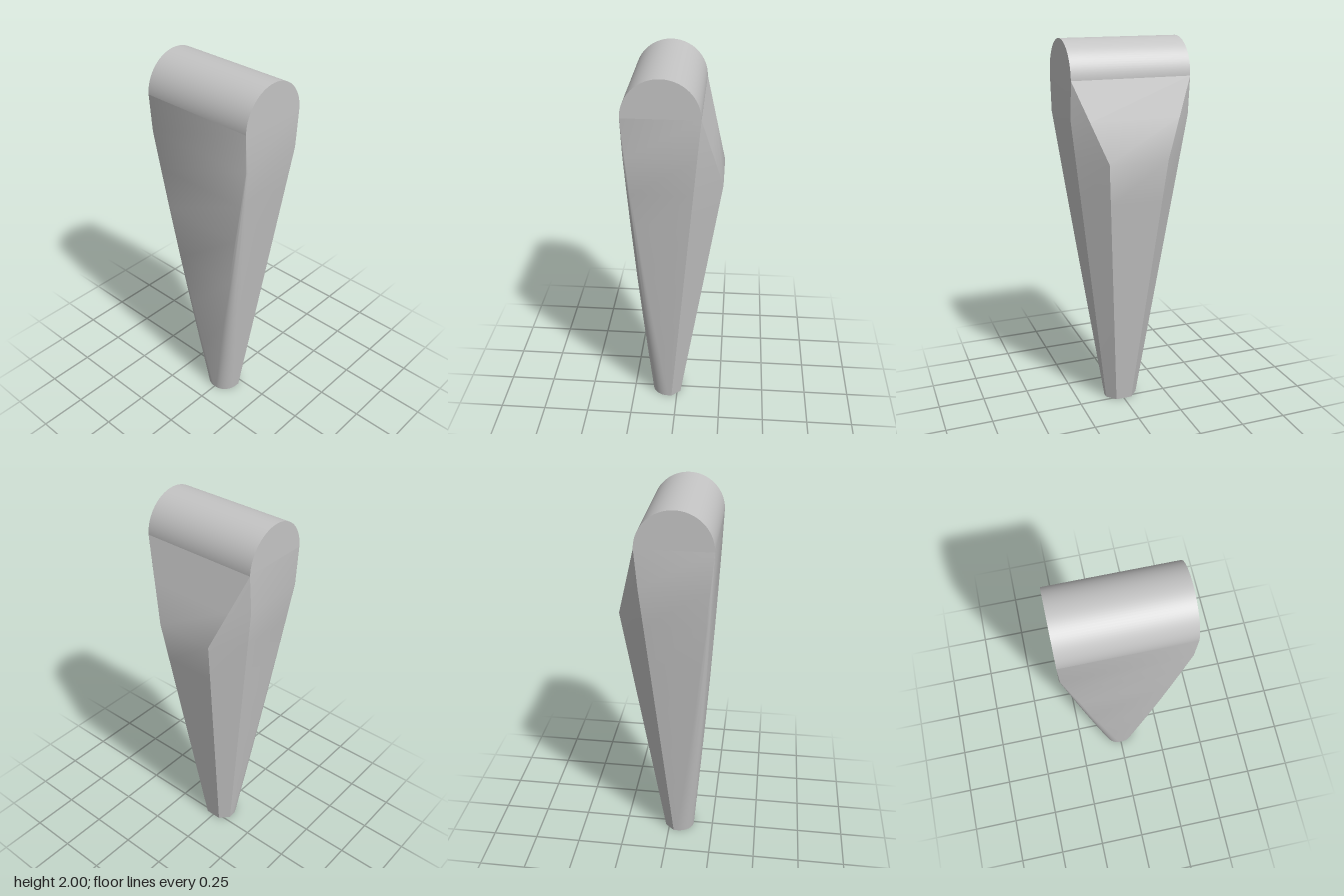
import * as THREE from 'three';
import { toCreasedNormals } from 'three/addons/utils/BufferGeometryUtils.js';

const TOP = 1.815; // height where the round head begins
const RIDGE = 1.42; // height of the deepest point of the back
const HALF = 0.31;
const { lerp } = THREE.MathUtils;

// Front profile, gently bulged
function frontZ(y) {
  const t = y / TOP;
  return lerp(0.14, 0.24, t) + 0.01 * Math.sin(Math.PI * t);
}

// One horizontal cross-section: flat back, chamfered back corners, rounded front
function section(y) {
  const t = y / TOP;
  const w = Math.min(HALF, lerp(0.09, HALF, y / 1.62));
  const cornerZ = lerp(0.03, -0.13, t);
  const up = Math.max(0, (y - RIDGE) / (TOP - RIDGE));
  const backX = y <= RIDGE ? lerp(0.045, 0.155, y / RIDGE) : lerp(0.155, HALF, up);
  const backZ = y <= RIDGE ? lerp(-0.02, -0.235, y / RIDGE) : lerp(-0.235, -0.13, up);
  const rx = 0.08 * (1 - t), rz = 0.09 * (1 - t), zf = frontZ(y);
  const side = [[backX, backZ], [w, cornerZ]];
  for (let i = 0; i <= 8; i++) {
    const a = (i / 8) * Math.PI / 2;
    side.push([w - rx + rx * Math.cos(a), zf - rz + rz * Math.sin(a)]);
  }
  const mirrored = side.map(([x, z]) => [-x, z]).reverse();
  return [...side, ...mirrored].map(([x, z]) => [x, y, z]);
}

// Tapered body lofted through the cross-sections
function bodyGeometry() {
  const rings = [0, 0.3, 0.6, 0.9, 1.2, RIDGE, 1.62, TOP].map(section);
  const n = rings[0].length;
  const index = [];
  for (let i = 0; i < rings.length - 1; i++) {
    for (let j = 0; j < n; j++) {
      const a = i * n + j, b = i * n + (j + 1) % n;
      index.push(a, a + n, b, b, a + n, b + n);
    }
  }
  for (let j = 1; j < n - 1; j++) index.push(0, j, j + 1); // foot
  const geo = new THREE.BufferGeometry();
  geo.setAttribute('position', new THREE.Float32BufferAttribute(rings.flat(2), 3));
  geo.setIndex(index);
  return toCreasedNormals(geo, 0.55);
}

export function createModel() {
  const group = new THREE.Group();
  group.name = 'taperedWedge';
  const grey = new THREE.MeshStandardMaterial({ color: 0xc4c4c4 });
  grey.name = 'plain grey';

  const body = new THREE.Mesh(bodyGeometry(), grey);
  body.name = 'taperedBody';
  group.add(body);

  // Half-round head lying across the top
  const headGeo = new THREE.CylinderGeometry(0.185, 0.185, HALF * 2, 48, 1, false, 0, Math.PI);
  headGeo.rotateZ(Math.PI / 2);
  const head = new THREE.Mesh(headGeo, grey);
  head.name = 'roundHead';
  head.position.set(0, TOP, 0.055);
  group.add(head);

  return group;
}
